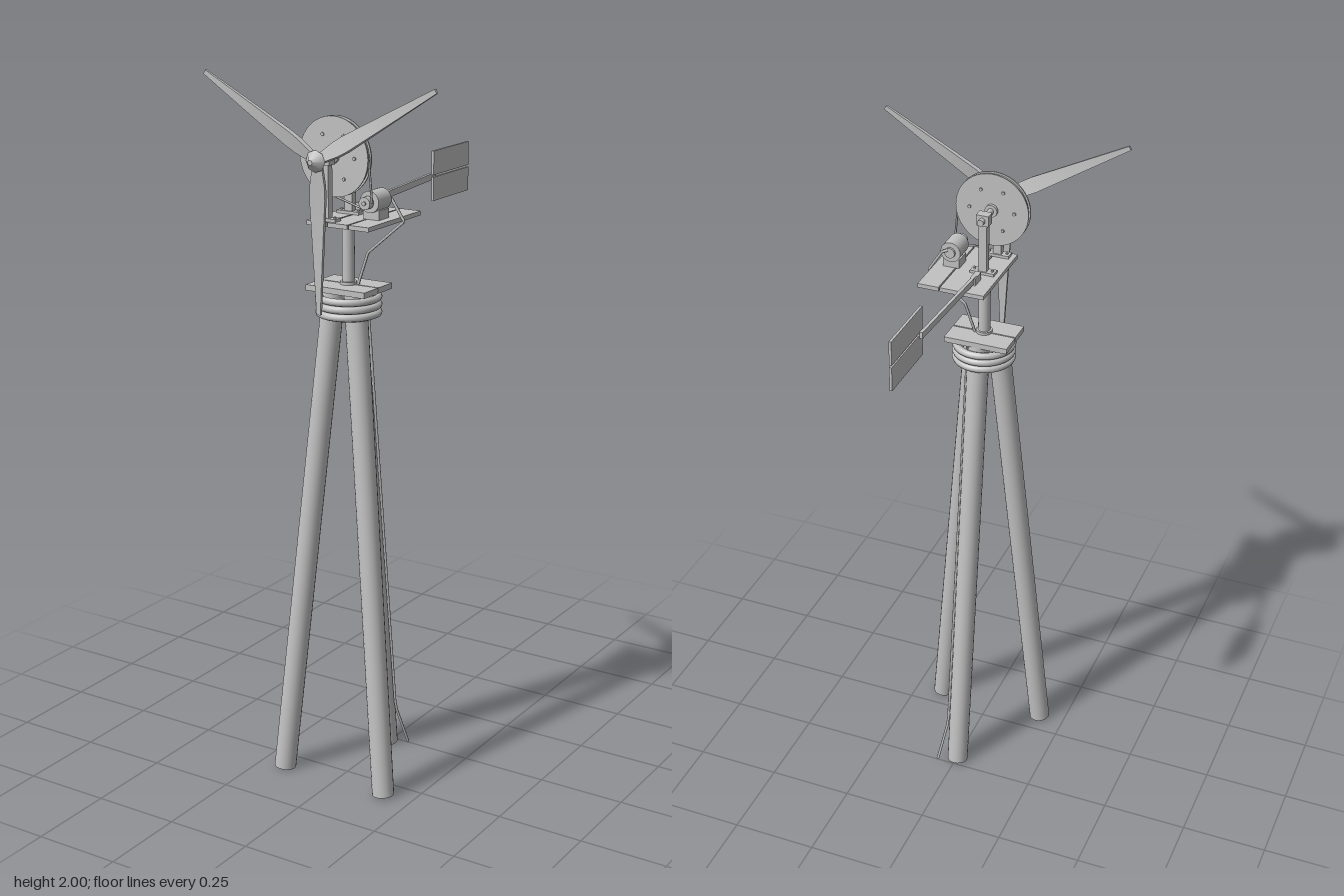
import * as THREE from 'three';

const AX = -0.004; // x of the mast axis
const AZ = 0.22; // z of the mast axis
const SHAFT_Y = 1.79;

export function createModel() {
  const model = new THREE.Group();
  const grey = new THREE.MeshStandardMaterial({ color: 0xc2c2c2 });
  grey.name = 'plain grey';
  const v = (x, y, z) => new THREE.Vector3(x, y, z);

  const add = (name, geometry, x = 0, y = 0, z = 0, parent = model) => {
    const mesh = new THREE.Mesh(geometry, grey);
    mesh.name = name;
    mesh.position.set(x, y, z);
    parent.add(mesh);
    return mesh;
  };
  // box given by its limits on each axis
  const box = (name, x0, x1, y0, y1, z0, z1) =>
    add(name, new THREE.BoxGeometry(x1 - x0, y1 - y0, z1 - z0), (x0 + x1) / 2, (y0 + y1) / 2, (z0 + z1) / 2);
  // cylinder between two points
  const rod = (name, a, b, r0, r1 = r0, sides = 20) => {
    const dir = b.clone().sub(a);
    const mesh = add(name, new THREE.CylinderGeometry(r1, r0, dir.length(), sides));
    mesh.position.copy(a).add(b).multiplyScalar(0.5);
    mesh.quaternion.setFromUnitVectors(v(0, 1, 0), dir.normalize());
    return mesh;
  };
  // cable with sharp bends through a few points
  const cable = (name, points, r) => {
    const path = new THREE.CurvePath();
    for (let i = 1; i < points.length; i++) path.add(new THREE.LineCurve3(points[i - 1], points[i]));
    add(name, new THREE.TubeGeometry(path, 48, r, 6));
  };

  // tripod
  for (let i = 0; i < 3; i++) {
    const a = Math.PI + (i * Math.PI * 2) / 3;
    const at = (r, y) => v(AX + r * Math.sin(a), y, AZ + r * Math.cos(a));
    rod('leg', at(0.193, 0.004), at(0.039, 1.42), 0.031);
  }
  // bindings round the leg tops
  for (const y of [1.362, 1.383, 1.404]) {
    add('binding', new THREE.TorusGeometry(0.08, 0.0105, 8, 40), AX, y, AZ).rotation.x = Math.PI / 2;
  }
  // lower deck of two planks
  box('lowerPlank', -0.097, 0.089, 1.422, 1.438, 0.15, 0.217);
  box('lowerPlank', -0.097, 0.089, 1.422, 1.438, 0.221, 0.288);

  // mast with collars
  rod('mast', v(AX, 1.4, AZ), v(AX, 1.618, AZ), 0.017);
  rod('mastCollar', v(AX, 1.595, AZ), v(AX, 1.617, AZ), 0.023);
  rod('mastFoot', v(AX, 1.438, AZ), v(AX, 1.446, AZ), 0.023);

  // upper deck of three planks
  for (const x of [-0.053, 0.013, 0.078]) {
    box('upperPlank', x, x + 0.061, 1.616, 1.628, 0.085, 0.345);
  }

  // bearing posts, each with a bolted foot and a split bearing block
  for (const z of [0.21, 0.322]) {
    box('bearingFoot', AX - 0.035, AX + 0.035, 1.628, 1.636, z - 0.014, z + 0.014);
    box('bearingPost', AX - 0.012, AX + 0.012, 1.63, 1.775, z - 0.01, z + 0.01);
    box('bearingBlock', AX - 0.018, AX + 0.018, 1.775, 1.806, z - 0.014, z + 0.014);
    for (const s of [-1, 1]) {
      rod('footBolt', v(AX + s * 0.026, 1.634, z), v(AX + s * 0.026, 1.64, z), 0.004, 0.004, 6);
    }
  }
  rod('shaft', v(AX, SHAFT_Y, 0.182), v(AX, SHAFT_Y, 0.375), 0.009);

  // drive wheel with rims, hub and bolts
  rod('driveWheel', v(AX, SHAFT_Y, 0.271), v(AX, SHAFT_Y, 0.285), 0.101, 0.101, 48);
  for (const z of [0.268, 0.284]) {
    rod('wheelRim', v(AX, SHAFT_Y, z), v(AX, SHAFT_Y, z + 0.004), 0.106, 0.106, 48);
  }
  rod('wheelHub', v(AX, SHAFT_Y, 0.259), v(AX, SHAFT_Y, 0.297), 0.018);
  for (let i = 0; i < 6; i++) {
    const a = (i * Math.PI) / 3;
    const x = AX + 0.065 * Math.cos(a), y = SHAFT_Y + 0.065 * Math.sin(a);
    rod('wheelBolt', v(x, y, 0.264), v(x, y, 0.292), 0.005, 0.005, 6);
  }

  // generator on its cradle, with pulley
  const GX = 0.09, GY = 1.676;
  rod('generator', v(GX, GY, 0.2), v(GX, GY, 0.263), 0.029, 0.029, 24);
  rod('generatorCap', v(GX, GY, 0.193), v(GX, GY, 0.2), 0.015);
  rod('generatorShaft', v(GX, GY, 0.26), v(GX, GY, 0.292), 0.006, 0.006, 12);
  rod('pulley', v(GX, GY, 0.268), v(GX, GY, 0.288), 0.017);
  box('generatorCradle', GX - 0.024, GX + 0.024, 1.628, 1.654, 0.205, 0.255);

  // belt runs along the two outer tangents of wheel and pulley
  const dx = GX - AX, dy = GY - SHAFT_Y;
  const base = Math.atan2(dy, dx), spread = Math.acos((0.102 - 0.018) / Math.hypot(dx, dy));
  for (const s of [-1, 1]) {
    const a = base + s * spread, c = Math.cos(a), n = Math.sin(a);
    rod('belt', v(AX + 0.102 * c, SHAFT_Y + 0.102 * n, 0.278), v(GX + 0.018 * c, GY + 0.018 * n, 0.278), 0.003, 0.003, 6);
  }

  // rotor: nose, hub and three tapered blades
  const rotor = new THREE.Group();
  rotor.name = 'rotor';
  rotor.position.set(AX, SHAFT_Y, 0.362);
  model.add(rotor);
  const nose = add('nose', new THREE.CylinderGeometry(0.007, 0.03, 0.026, 8), 0, 0, 0.0225, rotor);
  const hub = add('rotorHub', new THREE.CylinderGeometry(0.03, 0.016, 0.022, 8), 0, 0, -0.001, rotor);
  nose.rotation.x = hub.rotation.x = Math.PI / 2;
  const blade = new THREE.BoxGeometry(1, 1, 1, 1, 12, 1);
  const p = blade.attributes.position;
  for (let i = 0; i < p.count; i++) {
    const t = p.getY(i) + 0.5;
    const width = t < 0.2 ? 0.022 + (0.023 * t) / 0.2 : 0.045 - (0.033 * (t - 0.2)) / 0.8;
    const depth = 0.014 - 0.006 * t;
    const twist = 0.28 * (1 - t);
    const x = p.getX(i) * width, z = p.getZ(i) * depth;
    p.setXYZ(i, x * Math.cos(twist) - z * Math.sin(twist), t * 0.407, x * Math.sin(twist) + z * Math.cos(twist));
  }
  blade.computeVertexNormals();
  for (let i = 0; i < 3; i++) {
    add('blade', blade, 0, 0, 0, rotor).rotation.z = Math.PI + (i * Math.PI * 2) / 3;
  }

  // tail boom and split vane
  const boom = add('tailBoom', new THREE.BoxGeometry(0.009, 0.018, 0.398), AX, 1.651, -0.027);
  boom.rotation.x = 0.055;
  box('tailBracket', AX - 0.008, AX + 0.008, 1.628, 1.65, 0.13, 0.172);
  box('tailVane', 0.001, 0.008, 1.667, 1.735, -0.4, -0.203);
  box('tailVane', 0.001, 0.008, 1.593, 1.661, -0.4, -0.203);

  // power cable over the deck edge, into the mast head and down the back leg
  cable('upperCable', [v(0.095, 1.685, 0.194), v(0.11, 1.68, 0.19), v(0.15, 1.618, 0.187), v(0.045, 1.525, 0.2), v(0.02, 1.438, 0.21)], 0.004);
  cable('lowerCable', [v(0.03, 1.42, 0.182), v(0.033, 0.13, 0.04), v(0.052, 0.004, 0)], 0.004);
  return model;
}
